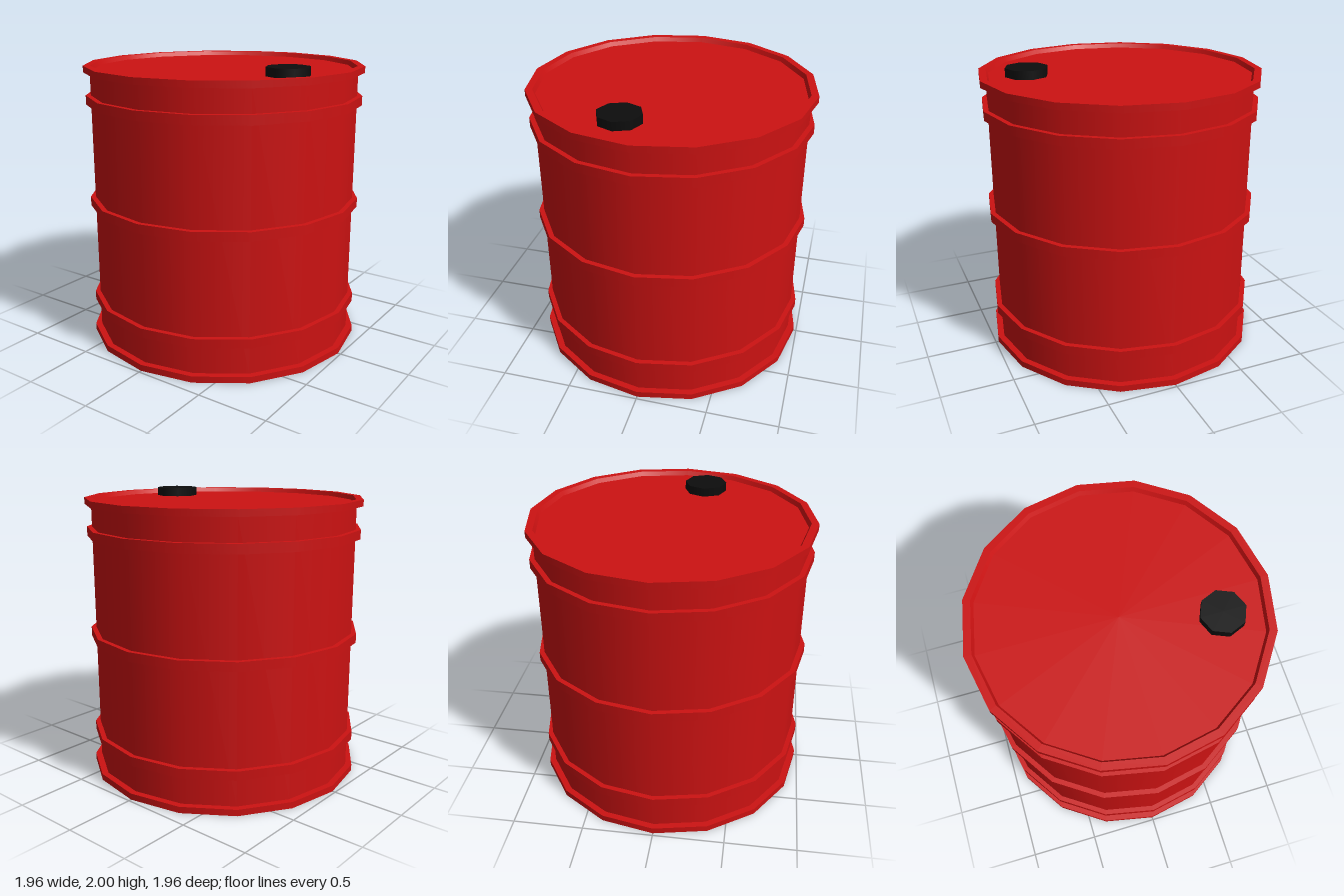
import * as THREE from 'three';
import { mergeGeometries } from 'three/addons/utils/BufferGeometryUtils.js';

const SIDES = 16;
const BODY_R = 0.935;
const LID_Y = 1.94;

// Revolves each profile segment on its own: smooth around, sharp between segments.
// Profiles run upwards on the outside, so that faces point outwards.
function revolve(profile) {
  const points = profile.map(([r, y]) => new THREE.Vector2(r, y));
  const strips = points.slice(1).map((p, i) => new THREE.LatheGeometry([points[i], p], SIDES));
  return mergeGeometries(strips);
}

export function createModel() {
  const drum = new THREE.Group();
  drum.name = 'drum';
  const red = new THREE.MeshStandardMaterial({ color: 0xcc1212 });
  const black = new THREE.MeshStandardMaterial({ color: 0x0d0d0d });

  const add = (name, geometry, material = red) => {
    const mesh = new THREE.Mesh(geometry, material);
    mesh.name = name;
    drum.add(mesh);
    return mesh;
  };

  // Side wall between the rims
  add('shell', revolve([[BODY_R, 0.045], [BODY_R, 1.925]]));

  // Bottom plate and its rim
  add('bottomRim', revolve([[0, 0], [0.98, 0], [0.98, 0.045], [BODY_R, 0.045]]));

  // Raised hoops around the wall
  const hoop = revolve([[BODY_R, -0.032], [0.97, -0.032], [0.97, 0.032], [BODY_R, 0.032]]);
  [['lowerHoop', 0.277], ['middleHoop', 1.007], ['upperHoop', 1.735]].forEach(([name, y]) => {
    add(name, hoop).position.y = y;
  });

  // Top rim, with an inner lip sloping down to the recessed lid
  add('topRim', revolve([[BODY_R, 1.925], [0.98, 1.925], [0.98, 1.97], [0.93, 1.97], [0.915, LID_Y]]));
  add('lid', revolve([[0.915, LID_Y], [0, LID_Y]]));

  // Octagonal filler cap
  const capHeight = 2 - LID_Y;
  const cap = add('fillerCap', new THREE.CylinderGeometry(0.15, 0.15, capHeight, 8), black);
  cap.position.set(0.62, LID_Y + capHeight / 2, 0.17);

  return drum;
}
